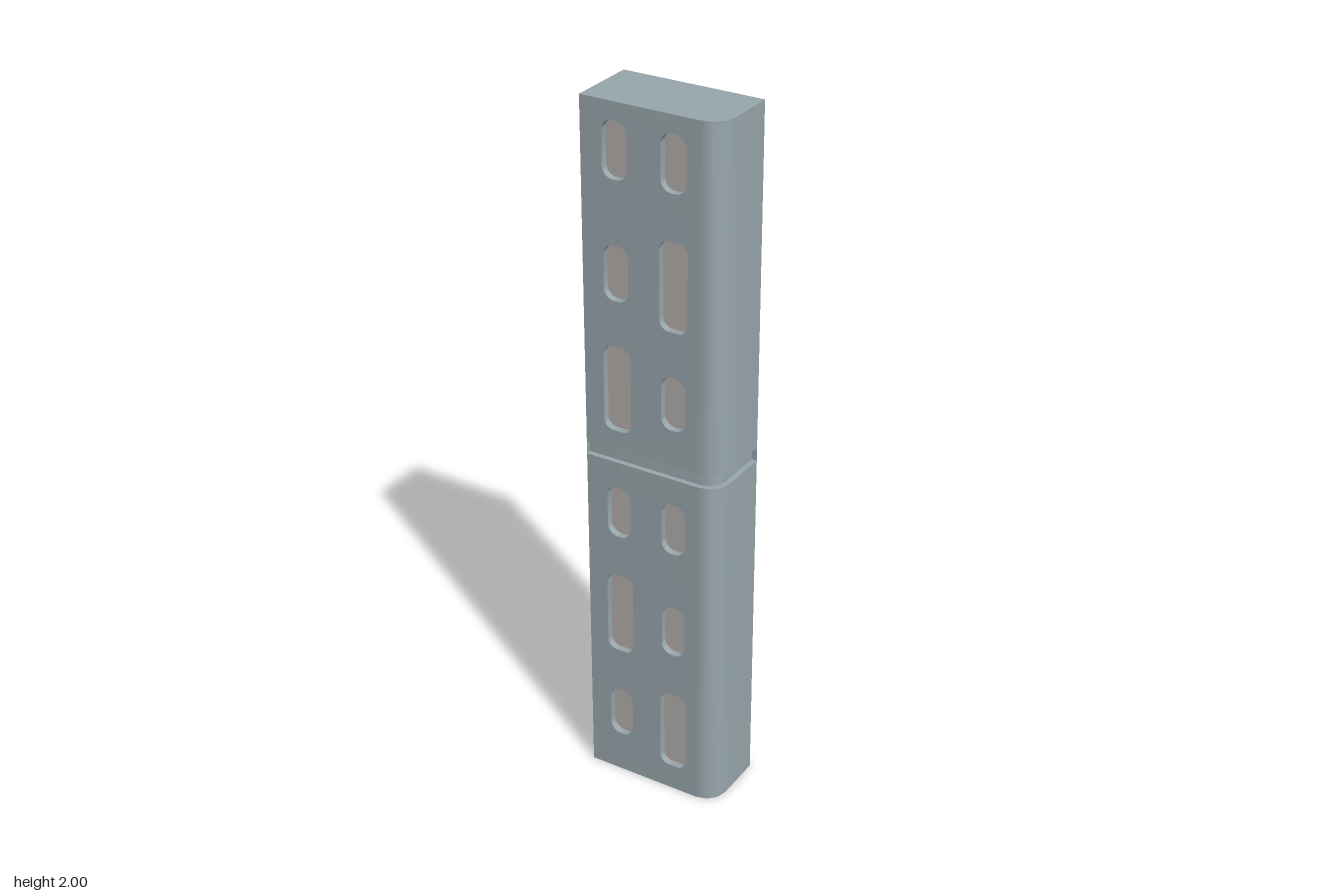
import * as THREE from 'three';
import { mergeGeometries, toCreasedNormals } from 'three/addons/utils/BufferGeometryUtils.js';

const SLOT_DEPTH = 0.02, GAP_LOW = 1.005, GAP_HIGH = 1.043, INSET = 0.015;
const bodyMat = new THREE.MeshStandardMaterial({ color: 0x99a8ad });
const sheetMat = new THREE.MeshStandardMaterial({ color: 0x99a8ad, side: THREE.DoubleSide });
const floorMat = new THREE.MeshStandardMaterial({ color: 0xb3aeac });

// slot centres [x, y, long?]
const L = -0.102, R = 0.066;
const slots = [
  [L, 1.875, false], [R, 1.875, false], [L, 1.548, false], [R, 1.55, true],
  [L, 1.222, true], [R, 1.225, false], [L, 0.853, false], [R, 0.853, false],
  [L, 0.53, true], [R, 0.53, false], [L, 0.2, false], [R, 0.2, true],
];

function addMesh(group, name, geometry, material) {
  const mesh = new THREE.Mesh(geometry, material);
  mesh.name = name;
  group.add(mesh);
  return mesh;
}

// rounded rectangle for one slot
function slotPath(Kind, [cx, cy, long]) {
  const w = long ? 0.041 : 0.036, h = long ? 0.122 : 0.076, r = long ? 0.026 : 0.03;
  const p = new Kind();
  p.moveTo(cx + w, cy - h + r);
  p.absarc(cx + w - r, cy + h - r, r, 0, Math.PI / 2, false);
  p.absarc(cx - w + r, cy + h - r, r, Math.PI / 2, Math.PI, false);
  p.absarc(cx - w + r, cy - h + r, r, Math.PI, Math.PI * 1.5, false);
  p.absarc(cx + w - r, cy - h + r, r, Math.PI * 1.5, Math.PI * 2, false);
  return p;
}

// plan outline given as [x, z] points, raised from y0 to y1
function prism(points, y0, y1) {
  const shape = new THREE.Shape(points.map(([x, z]) => new THREE.Vector2(x, -z)));
  return new THREE.ExtrudeGeometry(shape, { depth: y1 - y0, bevelEnabled: false })
    .rotateX(-Math.PI / 2).translate(0, y0, 0);
}

// front right corner in three facets
const corner = (inset) => [
  [0.2 - inset, 0.04], [0.192 - inset, 0.07 - inset * 0.3],
  [0.17 - inset * 0.3, 0.092 - inset], [0.14, 0.1 - inset],
];

// one half: solid backing plus a pierced front plate
function halfBody(y0, y1) {
  const zf = 0.1 - SLOT_DEPTH;
  const backing = prism([[-0.2, -0.1], [0.2, -0.1], ...corner(0), [0.14, zf], [-0.2, zf]], y0, y1);
  const face = new THREE.Shape([
    new THREE.Vector2(-0.2, y0), new THREE.Vector2(0.14, y0),
    new THREE.Vector2(0.14, y1), new THREE.Vector2(-0.2, y1),
  ]);
  face.holes = slots.filter((s) => s[1] > y0 && s[1] < y1).map((s) => slotPath(THREE.Path, s));
  const plate = new THREE.ExtrudeGeometry(face, { depth: SLOT_DEPTH, bevelEnabled: false, curveSegments: 4 })
    .translate(0, 0, zf);
  return toCreasedNormals(mergeGeometries([backing, plate]), 0.65);
}

export function createModel() {
  const model = new THREE.Group();
  model.name = 'slottedPanel';

  addMesh(model, 'lowerBody', halfBody(0, GAP_LOW), bodyMat);
  addMesh(model, 'upperBody', halfBody(GAP_HIGH, 2), bodyMat);

  // recessed core between the halves
  const core = prism([[-0.2, -0.1], [0.2 - INSET, -0.1], ...corner(INSET), [-0.2, 0.1 - INSET]], GAP_LOW, GAP_HIGH);
  addMesh(model, 'grooveCore', toCreasedNormals(core, 0.65), bodyMat);

  // thin skins closing the groove at the back and at the square side
  const h = GAP_HIGH - GAP_LOW, mid = (GAP_HIGH + GAP_LOW) / 2;
  const strip = new THREE.PlaneGeometry(INSET, h);
  const back = addMesh(model, 'grooveBackSkin', strip, sheetMat);
  back.position.set(0.2 - INSET / 2, mid, -0.1);
  back.rotation.y = Math.PI;
  const side = addMesh(model, 'grooveSideSkin', strip, sheetMat);
  side.position.set(-0.2, mid, 0.1 - INSET / 2);
  side.rotation.y = -Math.PI / 2;

  // pale floors of the slots
  const floors = new THREE.Group();
  floors.name = 'slotFloors';
  for (const s of slots) {
    const floor = addMesh(floors, 'slotFloor', new THREE.ShapeGeometry(slotPath(THREE.Shape, s), 4), floorMat);
    floor.position.z = 0.1 - SLOT_DEPTH + 0.0005;
  }
  model.add(floors);
  return model;
}
